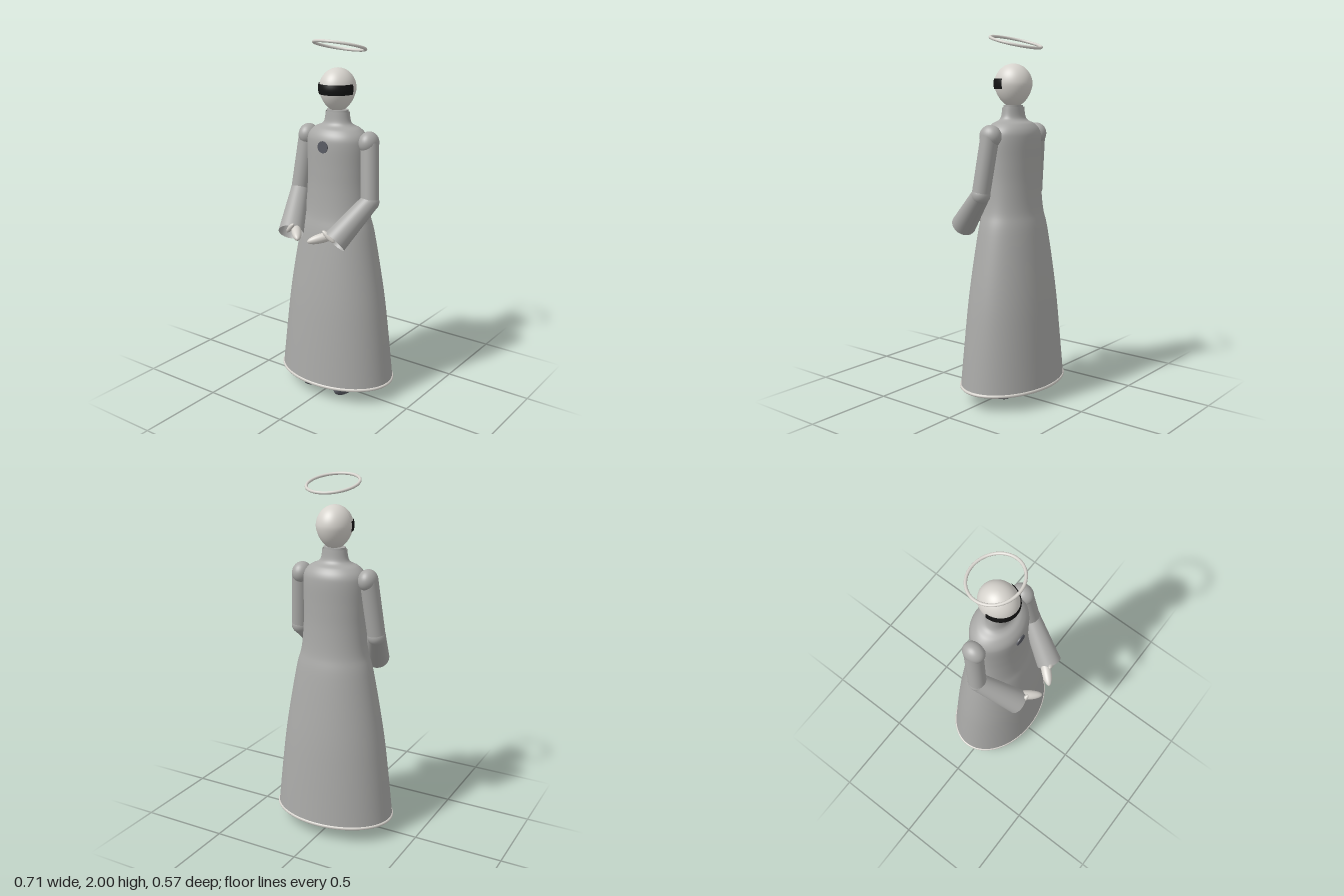
import * as THREE from 'three';

const V = (x, y, z) => new THREE.Vector3(x, y, z);
const UP = V(0, 1, 0);
const CZ = -0.036; // depth of the body axis

function material(name, color, side = THREE.FrontSide) {
  const m = new THREE.MeshStandardMaterial({ color, side });
  m.name = name;
  return m;
}

export function createModel() {
  const cloth = material('robe grey', 0xa9a9a7, THREE.DoubleSide);
  const pale = material('pale shell', 0xd6d3cd, THREE.DoubleSide);
  const black = material('visor black', 0x141414, THREE.DoubleSide);
  const dark = material('dark slate', 0x5a5c64);

  const model = new THREE.Group();
  model.name = 'robedFigure';

  function add(name, geometry, mat, pos = V(0, 0, 0), parent = model) {
    const mesh = new THREE.Mesh(geometry, mat);
    mesh.name = name;
    mesh.position.copy(pos);
    parent.add(mesh);
    return mesh;
  }

  // Ellipsoid whose long (y) axis points along dir
  function ellipsoid(name, mat, pos, radii, parent, dir = UP) {
    const mesh = add(name, new THREE.SphereGeometry(1, 32, 20), mat, pos, parent);
    mesh.scale.copy(radii);
    mesh.quaternion.setFromUnitVectors(UP, dir.clone().normalize());
    return mesh;
  }

  // Open tapered tube from a to b
  function limb(name, mat, a, b, ra, rb, parent) {
    const d = b.clone().sub(a);
    const geometry = new THREE.CylinderGeometry(rb, ra, d.length(), 40, 1, true);
    const mesh = add(name, geometry, mat, a.clone().add(b).multiplyScalar(0.5), parent);
    mesh.quaternion.setFromUnitVectors(UP, d.normalize());
    return mesh;
  }

  // Robe: oval lathe, a little flatter towards the hem
  const profile = [
    [0.35, 0.09], [0.318, 0.38], [0.285, 0.62], [0.225, 0.94], [0.193, 1.06],
    [0.179, 1.2], [0.177, 1.32], [0.178, 1.44], [0.168, 1.49], [0.135, 1.525],
    [0.095, 1.543], [0.077, 1.565], [0.069, 1.615],
  ].map(([r, y]) => new THREE.Vector2(r, y));
  const robe = new THREE.LatheGeometry(new THREE.SplineCurve(profile).getPoints(72), 72);
  robe.scale(1, 1, 0.74);
  const p = robe.attributes.position;
  for (let i = 0; i < p.count; i++) {
    const t = THREE.MathUtils.smoothstep(p.getY(i), 0.3, 1.15);
    p.setZ(i, p.getZ(i) * THREE.MathUtils.lerp(0.7, 0.76, t) / 0.74);
  }
  add('robe', robe, cloth, V(0, 0, CZ));

  // Underside and pale hem ring
  const base = new THREE.CircleGeometry(0.35, 72);
  base.rotateX(Math.PI / 2);
  base.scale(1, 1, 0.7);
  add('robeUnderside', base, cloth, V(0, 0.09, CZ));
  const hem = new THREE.TorusGeometry(0.348, 0.009, 12, 80);
  hem.rotateX(Math.PI / 2);
  hem.scale(1, 1, 0.7);
  add('hem', hem, pale, V(0, 0.092, CZ));

  // Collar top and neck
  const neck = new THREE.CylinderGeometry(0.062, 0.066, 0.07, 40);
  neck.scale(1, 1, 0.75);
  add('neck', neck, cloth, V(0, 1.59, CZ));

  // Egg rule shared by the head and the visor
  function egg(geometry, grow) {
    const q = geometry.attributes.position;
    for (let i = 0; i < q.count; i++) {
      const y = q.getY(i);
      const k = y < 0 ? 1 + 0.14 * y : 1;
      q.setXYZ(i, q.getX(i) * k * (0.097 + grow), y * (y < 0 ? 0.122 : 0.11), q.getZ(i) * k * (0.107 + grow));
    }
    geometry.computeVertexNormals();
    return geometry;
  }
  const headPos = V(0, 1.735, CZ);
  add('head', egg(new THREE.SphereGeometry(1, 48, 32), 0), pale, headPos);
  add('visor', egg(new THREE.SphereGeometry(1, 40, 6, 0, Math.PI, 1.297, 0.48), 0.005), black, headPos);

  // Tilted halo, raised at the front
  const halo = add('halo', new THREE.TorusGeometry(0.139, 0.008, 14, 72), pale, V(0, 1.957, -0.052));
  halo.rotation.x = Math.PI / 2 - 0.25;

  // Chest badge
  const badge = new THREE.CylinderGeometry(0.032, 0.032, 0.008, 32);
  badge.rotateX(Math.PI / 2);
  add('chestBadge', badge, dark, V(0, 1.44, 0.099));

  for (const s of [1, -1]) {
    // Arm with bent elbow, flared sleeve and hand
    const arm = new THREE.Group();
    arm.name = s > 0 ? 'leftArm' : 'rightArm';
    model.add(arm);
    const shoulder = V(s * 0.205, 1.465, -0.04);
    const elbow = V(s * 0.236, 1.155, -0.002);
    const cuff = V(s * 0.145, 0.965, 0.198);
    ellipsoid('shoulder', cloth, V(s * 0.2, 1.465, -0.04), V(0.052, 0.06, 0.063), arm);
    limb('upperArm', cloth, shoulder, elbow, 0.05, 0.049, arm);
    ellipsoid('elbow', cloth, elbow, V(0.051, 0.051, 0.051), arm);
    limb('sleeve', cloth, elbow, cuff, 0.05, 0.069, arm);
    ellipsoid('hand', pale, V(s * 0.088, 0.985, 0.222), V(0.028, 0.085, 0.026), arm, V(-s * 0.65, -0.2, 0.72));
    ellipsoid('thumb', pale, V(s * 0.128, 1.0, 0.225), V(0.014, 0.045, 0.014), arm, V(-s * 0.6, 0.6, 0.2));

    // Shoe with a flat sole
    const shoe = new THREE.SphereGeometry(1, 32, 24);
    shoe.scale(0.046, 0.056, 0.123);
    const q = shoe.attributes.position;
    for (let i = 0; i < q.count; i++) q.setY(i, Math.max(q.getY(i), -0.042));
    shoe.computeVertexNormals();
    add(s > 0 ? 'leftShoe' : 'rightShoe', shoe, dark, V(s * 0.107, 0.042, 0.012));
  }

  return model;
}
